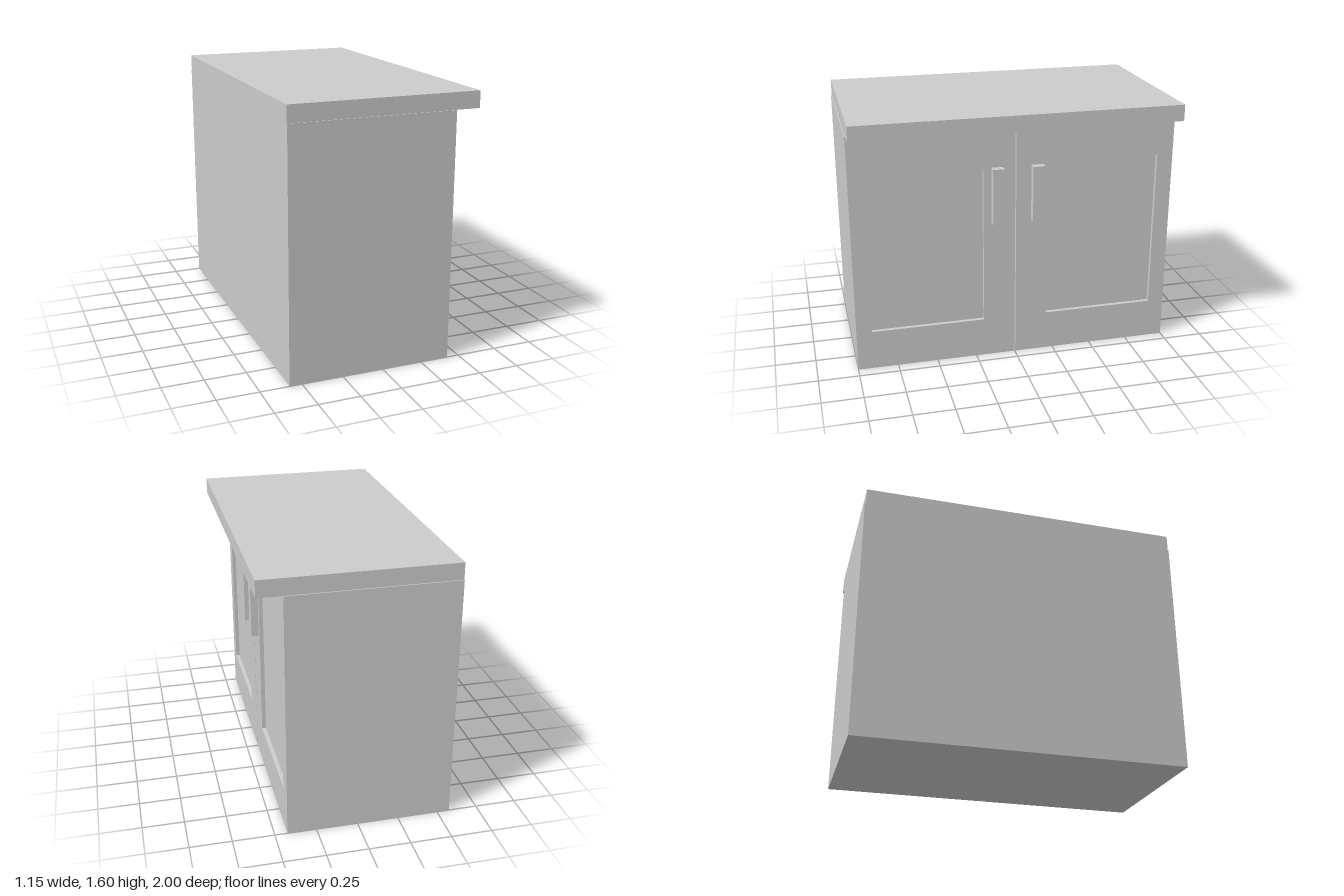
import * as THREE from 'three';

export function createModel() {
  const group = new THREE.Group();
  group.name = 'cabinet';
  const grey = new THREE.MeshStandardMaterial({ color: 0xcccccc });
  grey.name = 'light grey';

  // Box given by its minimum and maximum corners
  function box(name, [x0, y0, z0], [x1, y1, z1]) {
    const geometry = new THREE.BoxGeometry(x1 - x0, y1 - y0, z1 - z0);
    geometry.translate((x0 + x1) / 2, (y0 + y1) / 2, (z0 + z1) / 2);
    const mesh = new THREE.Mesh(geometry, grey);
    mesh.name = name;
    group.add(mesh);
  }

  // Rectangle outline, used for door frames and their openings
  function rectangle(path, x0, y0, x1, y1) {
    path.moveTo(x0, y0);
    path.lineTo(x1, y0);
    path.lineTo(x1, y1);
    path.lineTo(x0, y1);
    path.closePath();
    return path;
  }

  const back = -0.575, face = 0.425, recess = 0.025, height = 1.5;

  // Carcass and the worktop overhanging the doors
  box('carcass', [back, 0, -1], [face - recess, height, 1]);
  box('worktop', [back, height, -0.993], [0.572, 1.6, 0.995]);

  // Door frames on the +x side; the carcass shows through as sunken panels
  for (const side of [1, -1]) {
    const gap = 0.003;
    const shape = side > 0
      ? rectangle(new THREE.Shape(), -1, 0, -gap, height)
      : rectangle(new THREE.Shape(), gap, 0, 1, height);
    shape.holes.push(side > 0
      ? rectangle(new THREE.Path(), -0.905, 0.25, -0.2, 1.25)
      : rectangle(new THREE.Path(), 0.2, 0.25, 0.9, 1.25));
    const geometry = new THREE.ExtrudeGeometry(shape, { depth: recess, bevelEnabled: false });
    geometry.rotateY(Math.PI / 2);
    geometry.translate(face - recess, 0, 0);
    const door = new THREE.Mesh(geometry, grey);
    door.name = side > 0 ? 'leftDoorFrame' : 'rightDoorFrame';
    group.add(door);
  }

  // Upright bar handles
  box('leftDoorHandle', [face - 0.005, 0.9, 0.08], [0.47, 1.25, 0.15]);
  box('rightDoorHandle', [face - 0.005, 0.9, -0.17], [0.47, 1.25, -0.097]);

  return group;
}
